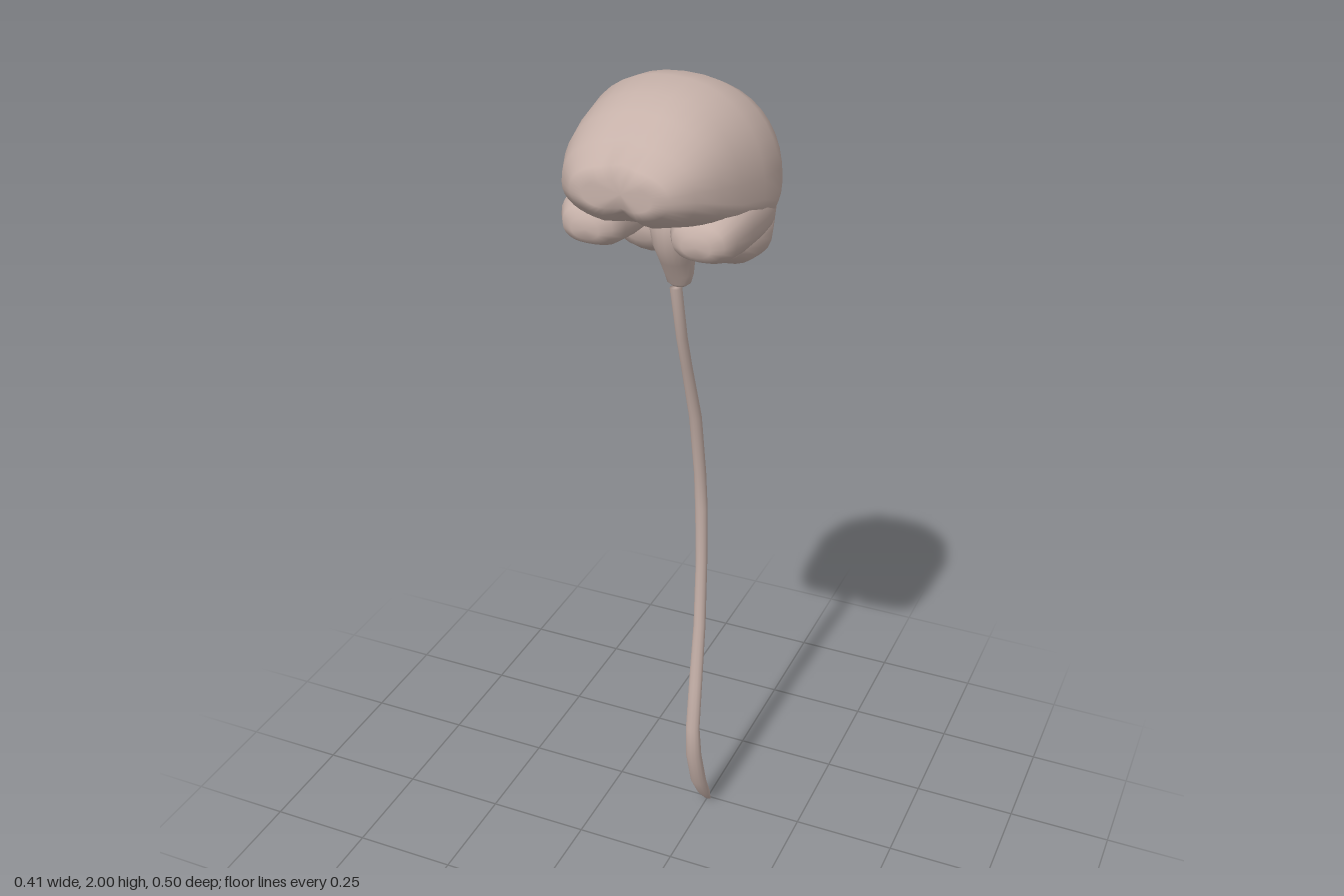
import * as THREE from 'three';

const tissue = new THREE.MeshStandardMaterial({ color: 0xc6b1a9 });

// Skins a list of rings (arrays of [x, y, z]) and closes both ends.
function skin(name, rings, rule) {
  const n = rings[0].length;
  const pos = [];
  const index = [];
  const centre = (ring) => [0, 1, 2].map((k) => ring.reduce((s, p) => s + p[k], 0) / n);
  rings.forEach((ring) => ring.forEach((p) => pos.push(...p)));
  const first = rings.length * n;
  const last = first + 1;
  pos.push(...centre(rings[0]), ...centre(rings[rings.length - 1]));
  for (let j = 0; j < n; j++) {
    const k = (j + 1) % n;
    for (let i = 0; i < rings.length - 1; i++) {
      const a = i * n, b = a + n;
      index.push(a + j, b + j, a + k, b + j, b + k, a + k);
    }
    index.push(first, j, k, last, first - n + k, first - n + j);
  }
  if (rule) {
    for (let i = 0; i < pos.length; i += 3) {
      [pos[i], pos[i + 1], pos[i + 2]] = rule(pos[i], pos[i + 1], pos[i + 2]);
    }
  }
  const geo = new THREE.BufferGeometry();
  geo.setAttribute('position', new THREE.Float32BufferAttribute(pos, 3));
  geo.setIndex(index);
  geo.computeVertexNormals();
  const mesh = new THREE.Mesh(geo, tissue);
  mesh.name = name;
  return mesh;
}

const power = (v, e) => Math.sign(v) * Math.pow(Math.abs(v), e);

// Rows run front to back: [z, half width, top y, widest y, bottom y].
function sectionsAlongZ(rows, cx = 0, e = 0.88, n = 40) {
  return rows.map(([z, w, top, mid, bottom]) =>
    Array.from({ length: n }, (_, j) => {
      const t = (j / n) * Math.PI * 2;
      const s = Math.sin(t);
      const h = s > 0 ? top - mid : mid - bottom;
      return [cx + w * power(Math.cos(t), e), mid + h * power(s, e), z];
    }));
}

// Rows run top to bottom: [y, z, half width, half depth].
function sectionsAlongY(rows, xAt = () => 0, n = 12) {
  return rows.map(([y, z, w, d]) =>
    Array.from({ length: n }, (_, j) => {
      const t = (j / n) * Math.PI * 2;
      return [xAt(y) + w * Math.cos(t), y, z - d * Math.sin(t)];
    }));
}

export function createModel() {
  const model = new THREE.Group();
  model.name = 'brainAndSpinalCord';
  const brain = new THREE.Group();
  brain.name = 'brain';
  model.add(brain);

  // Cerebrum, with the midline groove pressed into the front and underside
  const cerebrumRows = [
    [0.252, 0.07, 1.872, 1.84, 1.815],
    [0.24, 0.102, 1.896, 1.84, 1.795],
    [0.2, 0.138, 1.93, 1.835, 1.768],
    [0.14, 0.166, 1.967, 1.815, 1.75],
    [0.08, 0.183, 1.988, 1.795, 1.73],
    [0.0, 0.2, 2.0, 1.78, 1.7],
    [-0.07, 0.205, 1.988, 1.775, 1.665],
    [-0.13, 0.188, 1.962, 1.77, 1.645],
    [-0.18, 0.158, 1.915, 1.765, 1.64],
    [-0.22, 0.122, 1.85, 1.755, 1.645],
    [-0.24, 0.088, 1.8, 1.745, 1.67],
    [-0.249, 0.05, 1.77, 1.74, 1.7],
  ];
  brain.add(skin('cerebrum', sectionsAlongZ(cerebrumRows), (x, y, z) => {
    const groove = Math.exp(-((x / 0.022) ** 2));
    const front = THREE.MathUtils.smoothstep(z, 0.12, 0.24);
    const under = THREE.MathUtils.smoothstep(1.82 - y, 0, 0.06);
    return [x, y + 0.025 * groove * front * under, z - 0.018 * groove * front];
  }));

  const temporalRows = [
    [0.15, 0.03, 1.745, 1.722, 1.703],
    [0.138, 0.054, 1.765, 1.725, 1.69],
    [0.11, 0.07, 1.785, 1.73, 1.677],
    [0.05, 0.08, 1.8, 1.735, 1.67],
    [-0.02, 0.083, 1.8, 1.735, 1.668],
    [-0.08, 0.078, 1.79, 1.735, 1.665],
    [-0.13, 0.05, 1.76, 1.73, 1.68],
  ];
  const cerebellumRows = [
    [-0.035, 0.035, 1.69, 1.66, 1.635],
    [-0.05, 0.058, 1.71, 1.66, 1.615],
    [-0.09, 0.08, 1.72, 1.66, 1.592],
    [-0.14, 0.085, 1.72, 1.66, 1.585],
    [-0.185, 0.072, 1.71, 1.665, 1.603],
    [-0.215, 0.05, 1.7, 1.67, 1.63],
    [-0.228, 0.025, 1.69, 1.675, 1.655],
  ];
  for (const [side, s] of [['left', 1], ['right', -1]]) {
    brain.add(skin(side + 'TemporalLobe', sectionsAlongZ(temporalRows, s * 0.117, 0.85, 24)));
    brain.add(skin(side + 'Cerebellum', sectionsAlongZ(cerebellumRows, s * 0.083, 0.9, 24)));
  }

  // Brainstem, narrowing toward the cord
  brain.add(skin('brainstem', sectionsAlongY([
    [1.74, -0.02, 0.05, 0.05],
    [1.69, -0.022, 0.052, 0.056],
    [1.65, -0.025, 0.045, 0.054],
    [1.61, -0.036, 0.036, 0.043],
    [1.575, -0.045, 0.031, 0.029],
    [1.555, -0.045, 0.026, 0.02],
    [1.548, -0.044, 0.016, 0.012],
  ], () => 0, 20)));

  // Spinal cord, following the curve of the back down to a fine tip
  model.add(skin('spinalCord', sectionsAlongY([
    [1.54, -0.045, 0.013, 0.014],
    [1.41, -0.078, 0.012, 0.014],
    [1.33, -0.105, 0.012, 0.014],
    [1.18, -0.157, 0.014, 0.016],
    [1.02, -0.186, 0.014, 0.015],
    [0.92, -0.194, 0.015, 0.014],
    [0.78, -0.195, 0.014, 0.014],
    [0.6, -0.182, 0.015, 0.014],
    [0.44, -0.157, 0.017, 0.014],
    [0.31, -0.14, 0.018, 0.014],
    [0.22, -0.148, 0.02, 0.017],
    [0.11, -0.182, 0.02, 0.018],
    [0.04, -0.22, 0.017, 0.013],
    [0.0, -0.245, 0.009, 0.004],
  ], (y) => -0.007 * THREE.MathUtils.smoothstep(y, 0.3, 1.2))));

  return model;
}
